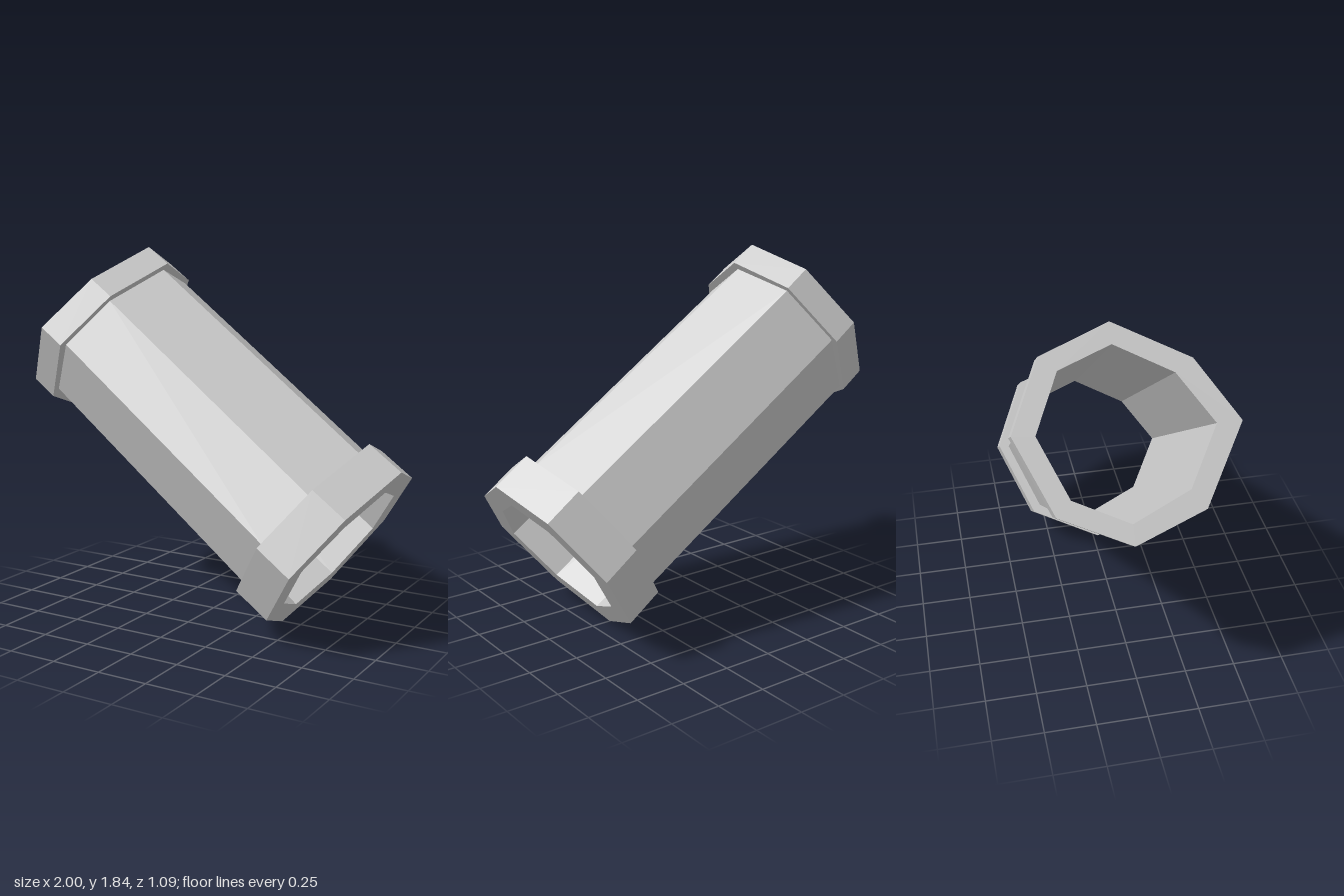
import * as THREE from 'three';

// Tilted pipe: u runs across the end faces, a runs from the low end to the high end
const u = new THREE.Vector3(0.59, 0.807, 0);
const a = new THREE.Vector3(-0.807, 0.59, 0);

// Uneven eight-sided sections as [z, distance along u]
const rimLow = [[0, 0.51], [-0.335, 0.39], [-0.49, 0.05], [-0.34, -0.335], [0, -0.51], [0.355, -0.35], [0.54, 0], [0.36, 0.31]];
const rimHigh = [[0, 0.48], [-0.32, 0.36], [-0.47, 0.04], [-0.32, -0.32], [0, -0.48], [0.33, -0.36], [0.53, 0], [0.345, 0.29]];
const wall = [[0, 0.44], [-0.3, 0.34], [-0.44, 0.045], [-0.305, -0.3], [0, -0.44], [0.32, -0.31], [0.485, 0], [0.325, 0.26]];
const hole = [[0, 0.382], [-0.245, 0.293], [-0.367, 0.03], [-0.25, -0.254], [0, -0.385], [0.27, -0.268], [0.415, 0], [0.26, 0.235]];

// Place a section around a centre, shifted along the pipe
function ring(centre, shift, section) {
  const c = centre.clone().addScaledVector(a, shift);
  return section.map(([z, s]) => c.clone().addScaledVector(u, s).add(new THREE.Vector3(0, 0, z)));
}

// Join successive rings with flat faces
function loft(name, rings) {
  const pos = [];
  for (let k = 0; k < rings.length - 1; k++) {
    const A = rings[k], B = rings[k + 1];
    for (let i = 0; i < A.length; i++) {
      const j = (i + 1) % A.length;
      for (const p of [A[i], A[j], B[j], A[i], B[j], B[i]]) pos.push(p.x, p.y, p.z);
    }
  }
  const geo = new THREE.BufferGeometry();
  geo.setAttribute('position', new THREE.Float32BufferAttribute(pos, 3));
  geo.computeVertexNormals();
  const mesh = new THREE.Mesh(geo, new THREE.MeshStandardMaterial({ color: 0xcccccc, flatShading: true }));
  mesh.name = name;
  return mesh;
}

export function createModel() {
  const group = new THREE.Group();
  group.name = 'pipe';
  const low = new THREE.Vector3(0.7, 0.412, 0);
  const high = new THREE.Vector3(-0.715, 1.45, -0.077);
  const lowLen = 0.2, highLen = 0.14;

  const lowHole = ring(low, 0, hole), highHole = ring(high, 0, hole);
  const lowWall = ring(low, lowLen, wall), highWall = ring(high, -highLen, wall);

  // End collars: face, rim and step down to the wall
  group.add(loft('lowerCollar', [lowHole, ring(low, 0, rimLow), ring(low, lowLen, rimLow), lowWall]));
  group.add(loft('upperCollar', [highWall, ring(high, -highLen, rimHigh), ring(high, 0, rimHigh), highHole]));
  // Outer wall and inward-facing bore
  group.add(loft('pipeWall', [lowWall, highWall]));
  group.add(loft('bore', [highHole, lowHole]));
  return group;
}
